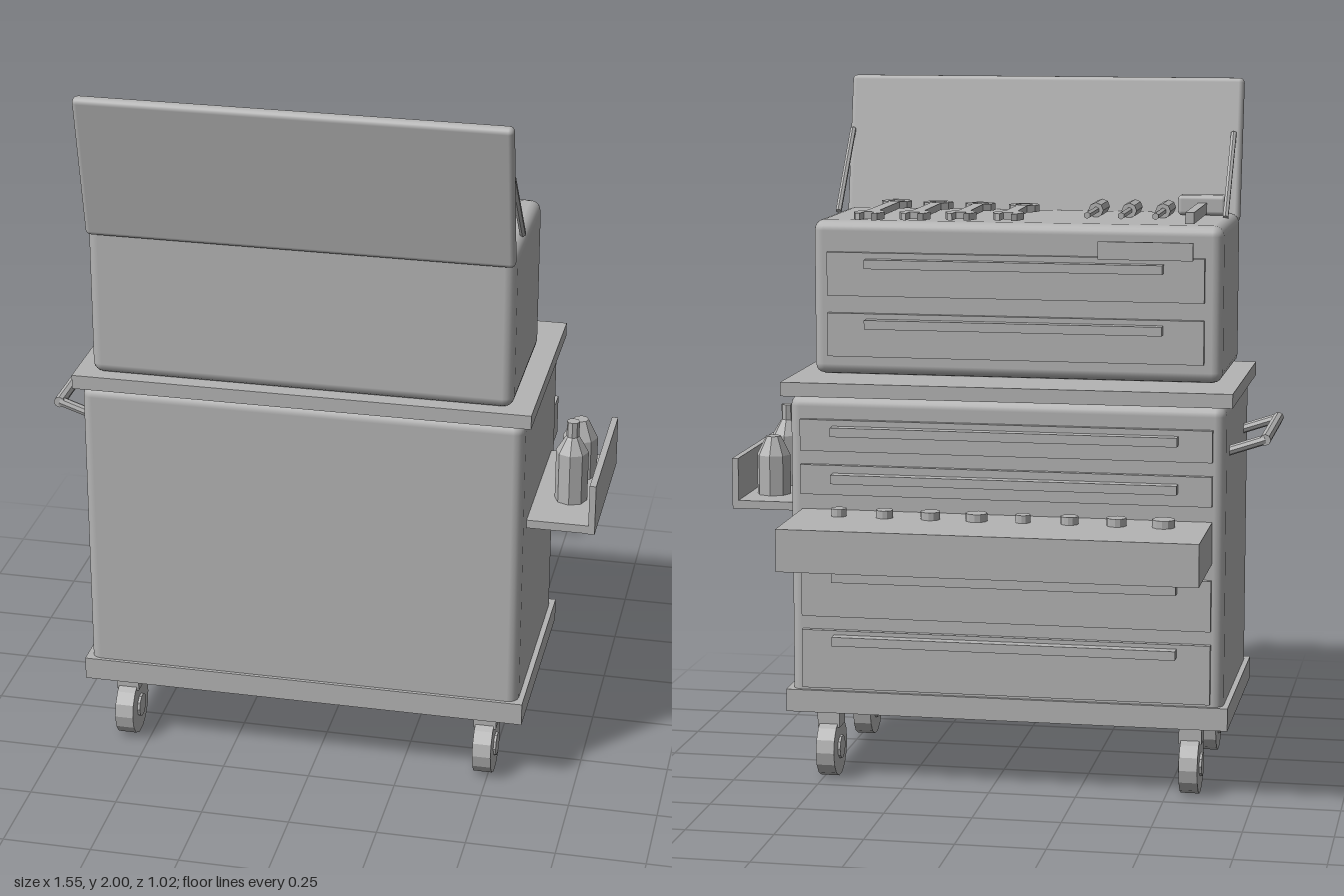
import * as THREE from 'three';
import { RoundedBoxGeometry } from 'three/addons/geometries/RoundedBoxGeometry.js';

export function createModel() {
  const model = new THREE.Group();
  const steel = new THREE.MeshStandardMaterial({ color: 0xb4b4b4 });
  steel.name = 'steelGrey';

  const add = (name, geometry, x = 0, y = 0, z = 0, parent = model) => {
    // faceted normals everywhere except on the rounded bodies
    const rounded = geometry instanceof RoundedBoxGeometry;
    let g = geometry;
    if (!rounded) {
      if (g.index) g = g.toNonIndexed();
      g.computeVertexNormals();
    }
    const mesh = new THREE.Mesh(g, steel);
    mesh.name = name;
    mesh.position.set(x, y, z);
    parent.add(mesh);
    return mesh;
  };
  // box given by its limits on each axis
  const box = (name, x0, x1, y0, y1, z0, z1, radius = 0) => {
    const size = [x1 - x0, y1 - y0, z1 - z0];
    const g = radius ? new RoundedBoxGeometry(...size, 2, radius) : new THREE.BoxGeometry(...size);
    return add(name, g, (x0 + x1) / 2, (y0 + y1) / 2, (z0 + z1) / 2);
  };
  // rod between two points
  const rod = (name, a, b, radius, sides = 8) => {
    const from = new THREE.Vector3(...a), to = new THREE.Vector3(...b);
    const dir = to.clone().sub(from);
    const mesh = add(name, new THREE.CylinderGeometry(radius, radius, dir.length(), sides));
    mesh.position.copy(from).add(to).multiplyScalar(0.5);
    mesh.quaternion.setFromUnitVectors(new THREE.Vector3(0, 1, 0), dir.normalize());
    return mesh;
  };

  // Cabinet bodies and plates
  box('basePlate', -0.675, 0.6, 0.205, 0.27, -0.21, 0.43);
  box('lowerCabinet', -0.66, 0.585, 0.24, 1.125, -0.2, 0.42, 0.03);
  box('worktop', -0.68, 0.605, 1.125, 1.165, -0.22, 0.435);
  box('upperChest', -0.63, 0.55, 1.165, 1.61, -0.043, 0.41, 0.03);

  // Drawer fronts with bar handles: bottom, top, handle height
  const drawer = (y0, y1, handleY, z, x0, x1, h0, h1) => {
    box('drawerFront', x0, x1, y0, y1, z - 0.017, z + 0.01);
    box('drawerHandle', h0, h1, handleY - 0.013, handleY + 0.013, z - 0.05, z - 0.015);
  };
  [[0.28, 0.45, 0.425], [0.49, 0.635, 0.61], [0.845, 0.93, 0.895], [0.97, 1.06, 1.03]]
    .forEach(([a, b, h]) => drawer(a, b, h, -0.2, -0.625, 0.55, -0.53, 0.455));
  [[1.22, 1.345, 1.317], [1.395, 1.52, 1.49]]
    .forEach(([a, b, h]) => drawer(a, b, h, -0.043, -0.58, 0.505, -0.465, 0.39));

  // Open drawer with a row of sockets
  box('openDrawer', -0.625, 0.548, 0.68, 0.8, -0.512, -0.19);
  [0.032, 0.028, 0.025, 0.021, 0.031, 0.028, 0.025, 0.022].forEach((r, i) =>
    add('socket', new THREE.CylinderGeometry(r, r, 0.03, 12), -0.5 + i * 0.1315, 0.807, -0.29));

  // Label plate
  box('labelPlate', -0.565, -0.3, 1.53, 1.58, -0.213, -0.204);

  // Tilted lid and its stays
  const lid = add('lid', new RoundedBoxGeometry(1.18, 0.425, 0.034, 2, 0.015), -0.04, 1.79, 0.45);
  lid.rotation.x = 0.2;
  for (const x of [-0.605, 0.54]) rod('lidStay', [x, 1.61, 0.24], [x, 1.84, 0.44], 0.009, 6);

  // Push handle
  const barX = -0.76, barY = 1.02;
  rod('handleBar', [barX, barY, -0.1], [barX, barY, 0.31], 0.016);
  for (const z of [-0.09, 0.3]) rod('handleArm', [-0.65, 0.983, z], [barX, barY, z], 0.014);

  // Side tray with bottle and funnel-topped can
  box('sideTrayFloor', 0.58, 0.76, 0.778, 0.802, -0.125, 0.335);
  box('sideTrayWall', 0.757, 0.775, 0.778, 0.925, -0.125, 0.338);
  const lathe = (name, points, z) => add(name, new THREE.LatheGeometry(
    points.map(([r, y]) => new THREE.Vector2(r, y)), 8), 0.685, 0.8, z);
  lathe('bottle', [[0, 0], [0.046, 0], [0.046, 0.15], [0.022, 0.19], [0.018, 0.195], [0.018, 0.24], [0, 0.24]], 0.173);
  lathe('oilCan', [[0, 0], [0.05, 0], [0.05, 0.118], [0.022, 0.172], [0, 0.172]], 0.007);

  // Casters
  for (const x of [-0.565, 0.487]) for (const z of [-0.13, 0.345]) {
    const caster = new THREE.Group();
    caster.name = 'caster';
    caster.position.set(x, 0.085, z);
    model.add(caster);
    const wheel = new THREE.CylinderGeometry(0.084, 0.084, 0.053, 14);
    const hub = new THREE.CylinderGeometry(0.034, 0.034, 0.067, 10);
    add('wheel', wheel.rotateZ(Math.PI / 2), 0, 0, 0, caster);
    add('wheelHub', hub.rotateZ(Math.PI / 2), 0, 0, 0, caster);
    add('casterBracket', new THREE.BoxGeometry(0.065, 0.06, 0.066), 0, 0.095, 0, caster);
  }

  // Wrenches lying flat on the chest, ring end towards the lid
  const polygon = (ShapeType, r, n, cy, turn = 0) => new ShapeType(Array.from({ length: n }, (_, i) => {
    const a = turn + i / n * Math.PI * 2;
    return new THREE.Vector2(r * Math.cos(a), cy + r * Math.sin(a));
  }));
  const flat = shape => new THREE.ExtrudeGeometry(shape, { depth: 0.02, bevelEnabled: false })
    .rotateX(Math.PI / 2);
  [[-0.005, -0.01, 0.3], [0.13, -0.025, 0.32], [0.26, -0.045, 0.34], [0.39, -0.062, 0.36]]
    .forEach(([x, tip, ring]) => {
      const ringShape = polygon(THREE.Shape, 0.045, 10, ring);
      ringShape.holes.push(polygon(THREE.Path, 0.027, 6, ring));
      add('wrenchRing', flat(ringShape), x, 1.633, 0);
      const half = [[0.015, tip + 0.05], [0.017, tip], [0.032, tip + 0.008], [0.045, tip + 0.05],
        [0.035, tip + 0.085], [0.018, tip + 0.105], [0.016, ring - 0.039]];
      const outline = [...half, ...half.map(([a, b]) => [-a, b]).reverse()];
      add('wrenchShank', flat(new THREE.Shape(outline.map(p => new THREE.Vector2(...p)))), x, 1.633, 0);
    });

  // Screwdrivers
  for (const x of [-0.43, -0.332, -0.235]) {
    rod('screwdriverHandle', [x, 1.63, 0.185], [x, 1.63, 0.315], 0.022);
    rod('screwdriverShaft', [x, 1.63, 0.02], [x, 1.63, 0.19], 0.01, 6);
  }

  // Hammer
  box('hammerHead', -0.6, -0.46, 1.61, 1.668, 0.285, 0.345, 0.012);
  box('hammerHandle', -0.545, -0.52, 1.615, 1.647, -0.025, 0.29);

  return model;
}
